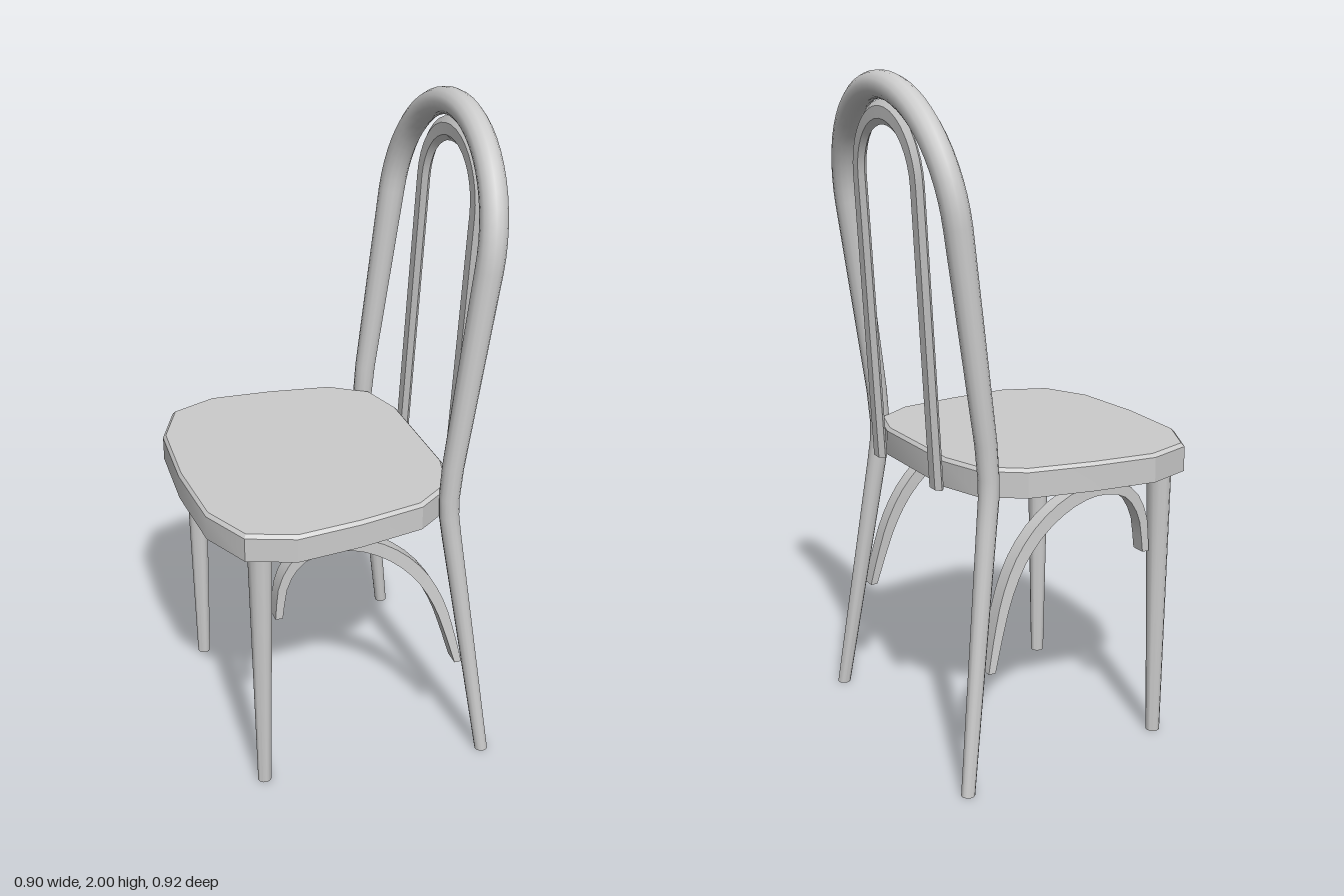
import * as THREE from 'three';
import { toCreasedNormals } from 'three/addons/utils/BufferGeometryUtils.js';

const material = new THREE.MeshStandardMaterial({ color: 0xcccccc });
const V = (x, y, z) => new THREE.Vector3(x, y, z);

function part(name, geometry, parent) {
  const mesh = new THREE.Mesh(geometry, material);
  mesh.name = name;
  parent.add(mesh);
  return mesh;
}

// Sweeps an elliptical ring of `sides` corners along points; both ends are cut level.
// size(point, t) gives the half sizes along `ref` and across it.
function sweep(points, ref, size, sides, crease, phase = 0) {
  const pos = [], index = [], last = points.length - 1;
  points.forEach((p, i) => {
    const t = points[Math.min(i + 1, last)].clone().sub(points[Math.max(i - 1, 0)]).normalize();
    if (i === 0 || i === last) t.set(0, Math.sign(t.y), 0);
    const u = ref.clone().addScaledVector(t, -ref.dot(t)).normalize();
    const v = t.clone().cross(u);
    const [a, b] = size(p, i / last);
    for (let j = 0; j < sides; j++) {
      const angle = phase + (j / sides) * Math.PI * 2;
      const q = p.clone().addScaledVector(u, a * Math.cos(angle)).addScaledVector(v, b * Math.sin(angle));
      pos.push(q.x, q.y, q.z);
    }
  });
  for (let i = 0; i < last; i++) {
    for (let j = 0; j < sides; j++) {
      const k = (j + 1) % sides, r = i * sides, s = r + sides;
      index.push(r + j, r + k, s + k, r + j, s + k, s + j);
    }
  }
  const e = last * sides;
  for (let j = 1; j < sides - 1; j++) index.push(0, j + 1, j, e, e + j, e + j + 1);
  const geo = new THREE.BufferGeometry();
  geo.setAttribute('position', new THREE.Float32BufferAttribute(pos, 3));
  geo.setIndex(index);
  return toCreasedNormals(geo, crease);
}

// Upside-down U: one post, a half circle, and the mirrored post
function hoopPath(post, radius, springY, xAt, steps) {
  const arc = [];
  for (let i = 0; i <= steps; i++) {
    const a = (i / steps) * Math.PI;
    const y = springY + radius * Math.sin(a);
    arc.push(V(xAt(y), y, radius * Math.cos(a)));
  }
  const mirrored = post.map((p) => V(p.x, p.y, -p.z)).reverse();
  return [...post, ...arc, ...mirrored];
}

function seatGeometry() {
  const half = [[-0.45, 0], [-0.435, 0.25], [-0.365, 0.4], [-0.225, 0.453],
    [-0.03, 0.438], [0.17, 0.405], [0.285, 0.325], [0.325, 0.19]];
  const outline = [...half, ...half.slice(1).reverse().map(([x, z]) => [x, -z])];
  const shape = new THREE.Shape(outline.map(([x, z]) => new THREE.Vector2(x, z)));
  const depth = 0.085;
  const geo = new THREE.ExtrudeGeometry(shape, { depth, steps: 2, bevelEnabled: false });
  // Middle layer becomes the chamfer line; the top layer shrinks inward
  const p = geo.attributes.position;
  for (let i = 0; i < p.count; i++) {
    const z = p.getZ(i);
    if (z > depth * 0.9) p.setXY(i, -0.06 + (p.getX(i) + 0.06) * 0.978, p.getY(i) * 0.978);
    else if (z > 0.01) p.setZ(i, depth - 0.01);
  }
  geo.rotateX(-Math.PI / 2).translate(0, 0.838, 0);
  return toCreasedNormals(geo, 0.4);
}

export function createModel() {
  const chair = new THREE.Group();
  chair.name = 'chair';
  const X = V(1, 0, 0), Z = V(0, 0, 1);

  part('seat', seatGeometry(), chair);

  // Back legs and outer hoop are one bent rod, thinner towards the feet
  const rodPost = [V(0.385, 0, 0.44), V(0.283, 0.76, 0.368), V(0.273, 0.84, 0.362),
    V(0.272, 0.9, 0.36), V(0.28, 1.0, 0.36)];
  const rodX = (y) => 0.36 + (y - 1.6) * 0.139;
  const rodRadius = (p) => {
    const r = Math.min(0.04, p.y < 0.85 ? 0.02 + 0.0118 * p.y : 0.03 + (p.y - 0.85) * 0.0133);
    return [r, r];
  };
  part('backHoopAndLegs', sweep(hoopPath(rodPost, 0.36, 1.6, rodX, 28), X, rodRadius, 14, 0.8), chair);

  // Flattened six-sided inner hoop
  const innerX = (y) => 0.348 + (y - 0.838) * 0.054;
  const innerPost = [V(innerX(0.838), 0.838, 0.19)];
  const innerSize = () => [0.016, 0.035];
  part('innerHoop', sweep(hoopPath(innerPost, 0.19, 1.695, innerX, 18), X, innerSize, 6, 0.5, Math.PI / 2), chair);

  // Front legs and the arched side braces
  for (const side of [1, -1]) {
    const name = side > 0 ? 'left' : 'right';
    const leg = toCreasedNormals(new THREE.CylinderGeometry(0.037, 0.021, 0.84, 12), 0.8);
    part(name + 'FrontLeg', leg, chair).position.set(-0.308, 0.42, 0.353 * side);

    const curve = new THREE.CatmullRomCurve3([
      [-0.257, 0.595, 0.343], [-0.24, 0.715, 0.345], [-0.19, 0.79, 0.348], [-0.1, 0.818, 0.352],
      [0.0, 0.802, 0.357], [0.1, 0.745, 0.362], [0.18, 0.662, 0.37], [0.235, 0.56, 0.38],
      [0.27, 0.45, 0.39], [0.297, 0.345, 0.4],
    ].map(([x, y, z]) => V(x, y, z * side)));
    const size = (p, t) => {
      const thick = 0.011 + 0.009 * Math.sin(Math.PI * t);
      return [0.024 * Math.SQRT2, thick * Math.SQRT2];
    };
    part(name + 'SideBrace', sweep(curve.getPoints(22), Z, size, 4, 0.6, Math.PI / 4), chair);
  }
  return chair;
}
